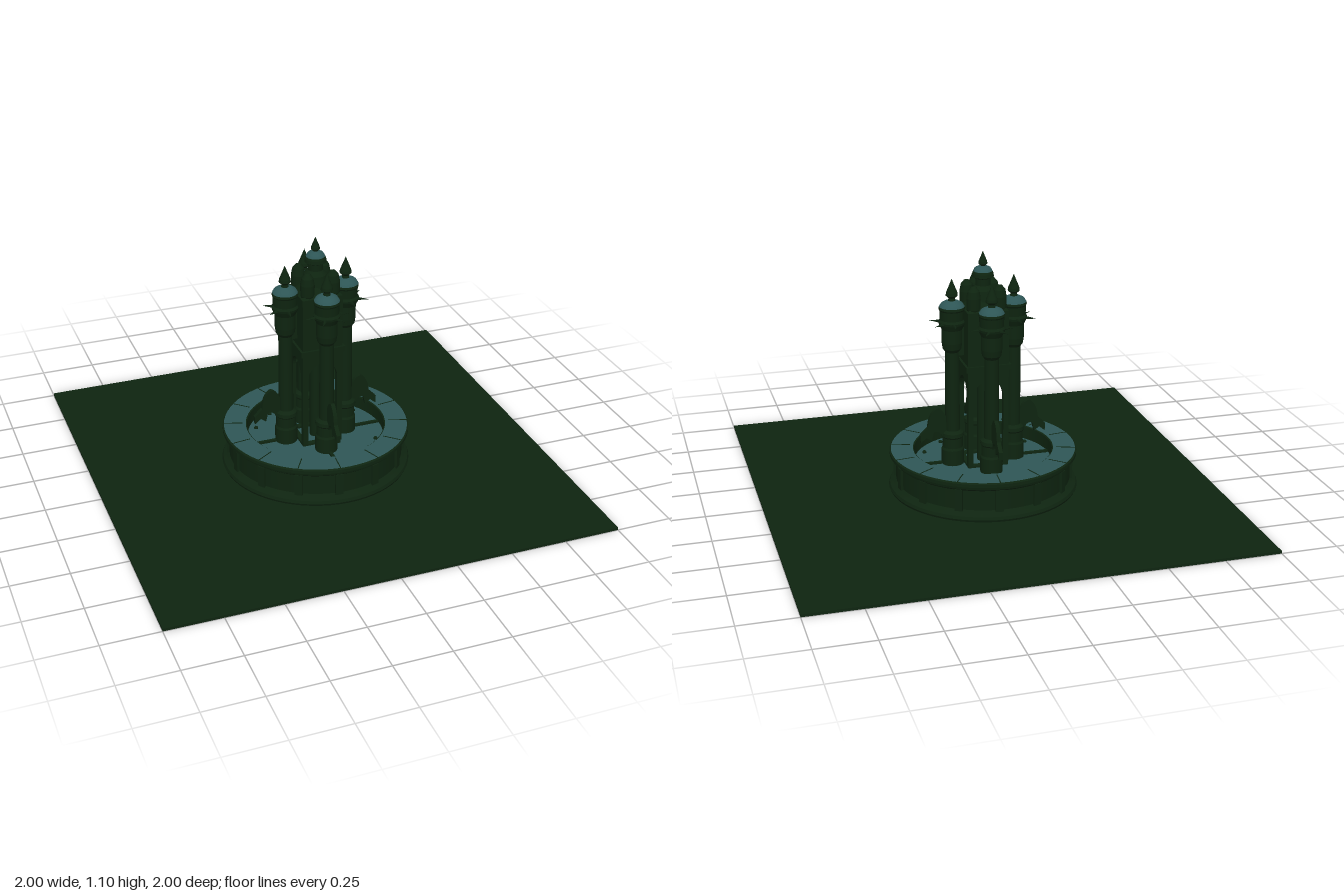
import * as THREE from 'three';

export function createModel() {
  const model = new THREE.Group();
  model.name = 'gothicFountain';
  const mossMat = new THREE.MeshStandardMaterial({ color: 0x0e2410 });
  mossMat.name = 'dark moss stone';
  const tealMat = new THREE.MeshStandardMaterial({ color: 0x2e5656 });
  tealMat.name = 'weathered teal stone';

  const add = (parent, name, geo, mat, x = 0, y = 0, z = 0) => {
    const m = new THREE.Mesh(geo, mat);
    m.name = name;
    m.position.set(x, y, z);
    parent.add(m);
    return m;
  };
  // Lathe with doubled points, so the profile keeps its edges crisp
  const lathe = (pts, seg) => {
    const p = [];
    pts.forEach(([r, y], i) => {
      p.push(new THREE.Vector2(r, y));
      if (i && i < pts.length - 1) p.push(new THREE.Vector2(r, y));
    });
    return new THREE.LatheGeometry(p, seg);
  };
  const extrude = (shape, depth) =>
    new THREE.ExtrudeGeometry(shape, { depth, bevelEnabled: false, curveSegments: 8 }).translate(0, 0, -depth / 2);
  const spirePoints = (y, s) => [[0.018, 0], [0.014, 0.018], [0.027, 0.03], [0.025, 0.043], [0.013, 0.072], [0, 0.105]]
    .map(([r, h]) => [r * s, y + h * s]);

  // Ground slab
  add(model, 'ground', new THREE.BoxGeometry(2, 0.012, 2), mossMat, 0, 0.006, 0);

  // Basin: outer wall, teal coping, inner wall and floor
  const basin = new THREE.Group();
  basin.name = 'basin';
  model.add(basin);
  add(basin, 'outerWall', lathe([[0.42, 0.01], [0.425, 0.022], [0.42, 0.035], [0.405, 0.045], [0.392, 0.055],
    [0.392, 0.145], [0.405, 0.155], [0.408, 0.167], [0.42, 0.172], [0.42, 0.186], [0.414, 0.192]], 64), mossMat);
  add(basin, 'coping', lathe([[0.414, 0.192], [0.315, 0.192]], 64), tealMat);
  add(basin, 'innerWall', lathe([[0.315, 0.192], [0.31, 0.188], [0.308, 0.13]], 64), mossMat);
  add(basin, 'floor', lathe([[0.308, 0.13], [0, 0.13]], 64), tealMat);
  for (let i = 0; i < 14; i++) {
    const a = (i + 0.3) * Math.PI * 2 / 14;
    const spoke = new THREE.Group();
    spoke.name = 'basinStone';
    spoke.rotation.y = a;
    basin.add(spoke);
    add(spoke, 'copingJoint', new THREE.BoxGeometry(0.085, 0.003, 0.004), mossMat, 0.372, 0.192, 0);
    add(spoke, 'wallRib', new THREE.BoxGeometry(0.02, 0.1, 0.035), mossMat, 0.393, 0.1, 0);
  }
  for (let i = 0; i < 12; i++) {
    if (i % 3 === 0) continue;
    const a = i * Math.PI / 6;
    add(basin, 'floorStud', new THREE.SphereGeometry(0.01, 8, 5), mossMat, 0.275 * Math.cos(a), 0.132, 0.275 * Math.sin(a));
  }

  // Core: four arched walls around an open chamber
  const core = new THREE.Group();
  core.name = 'core';
  model.add(core);
  const wall = new THREE.Shape([[-0.092, 0.13], [0.092, 0.13], [0.092, 0.85], [-0.092, 0.85]].map(p => new THREE.Vector2(...p)));
  const opening = new THREE.Path();
  opening.moveTo(-0.068, 0.14);
  opening.lineTo(-0.068, 0.47);
  opening.quadraticCurveTo(-0.06, 0.525, 0, 0.54);
  opening.quadraticCurveTo(0.06, 0.525, 0.068, 0.47);
  opening.lineTo(0.068, 0.14);
  wall.holes.push(opening);
  const wallGeo = extrude(wall, 0.024);
  for (let i = 0; i < 4; i++) {
    const side = new THREE.Group();
    side.name = 'coreSide';
    side.rotation.y = i * Math.PI / 2;
    core.add(side);
    add(side, 'archedWall', wallGeo, mossMat, 0, 0, 0.08);
    add(side, 'stringCourse', new THREE.BoxGeometry(0.2, 0.025, 0.02), mossMat, 0, 0.595, 0.092);
    // Rounded finial over each corner
    add(side, 'cornerFinial', lathe([[0.02, 0.83], [0.031, 0.86], [0.032, 0.91], [0.026, 0.94], [0.012, 0.958], [0, 0.962]], 12),
      mossMat, 0.058, 0, 0.058);
  }
  add(core, 'chamberCeiling', new THREE.BoxGeometry(0.17, 0.3, 0.17), mossMat, 0, 0.7, 0);
  add(core, 'centralColumn', new THREE.CylinderGeometry(0.026, 0.026, 0.42, 16), mossMat, 0, 0.34, 0);
  add(core, 'roof', new THREE.CylinderGeometry(0.065, 0.13, 0.05, 4, 1).rotateY(Math.PI / 4), mossMat, 0, 0.872, 0);
  add(core, 'lantern', lathe([[0.062, 0.87], [0.05, 0.93], [0.033, 0.95], [0.033, 0.98], [0.048, 0.988], [0.046, 1.003], [0.042, 1.012]], 20), mossMat);
  add(core, 'lanternDome', new THREE.LatheGeometry([[0.042, 1.012], [0.034, 1.026], [0.018, 1.034], [0, 1.036]].map(p => new THREE.Vector2(...p)), 20), tealMat);
  add(core, 'lanternSpire', lathe(spirePoints(1.022, 0.75), 12), mossMat);

  // Arched water spout, a thin radial plate
  const spout = new THREE.Shape();
  spout.moveTo(0.16, 0.25);
  spout.lineTo(0.16, 0.32);
  spout.quadraticCurveTo(0.18, 0.395, 0.215, 0.395);
  spout.quadraticCurveTo(0.25, 0.375, 0.255, 0.31);
  spout.lineTo(0.29, 0.275);
  spout.lineTo(0.288, 0.24);
  spout.lineTo(0.262, 0.262);
  spout.lineTo(0.238, 0.245);
  spout.lineTo(0.228, 0.285);
  spout.quadraticCurveTo(0.2, 0.295, 0.185, 0.25);
  const spoutGeo = extrude(spout, 0.018);
  const spikeGeo = new THREE.ConeGeometry(0.014, 0.055, 4).rotateZ(-Math.PI / 2).scale(1, 0.6, 1);

  // Four outer towers, each built on the +x axis and turned into place
  for (let i = 0; i < 4; i++) {
    const tower = new THREE.Group();
    tower.name = 'tower';
    tower.rotation.y = i * Math.PI / 2;
    model.add(tower);
    add(tower, 'towerBase', lathe([[0.05, 0.13], [0.05, 0.2], [0.045, 0.21], [0.045, 0.255], [0.05, 0.262], [0.048, 0.278], [0.032, 0.29]], 20), mossMat, 0.14);
    add(tower, 'towerShaft', new THREE.CylinderGeometry(0.031, 0.033, 0.4, 20), mossMat, 0.14, 0.48, 0);
    add(tower, 'towerHead', lathe([[0.03, 0.655], [0.042, 0.672], [0.046, 0.7], [0.046, 0.76], [0.058, 0.785], [0.06, 0.795],
      [0.053, 0.805], [0.054, 0.845], [0.058, 0.852], [0.056, 0.862]], 20), mossMat, 0.14);
    add(tower, 'towerDome', new THREE.LatheGeometry([[0.056, 0.862], [0.047, 0.877], [0.03, 0.886], [0.01, 0.89]].map(p => new THREE.Vector2(...p)), 20), tealMat, 0.14);
    add(tower, 'towerSpire', lathe(spirePoints(0.882, 1), 12), mossMat, 0.14);
    add(tower, 'waterSpout', spoutGeo, mossMat);
    // Ledge that carries the spout down to the floor
    add(tower, 'spoutRail', new THREE.BoxGeometry(0.12, 0.012, 0.014), mossMat, 0.245, 0.134, 0);
    // Horizontal thorns around the head
    for (const deg of [-85, -30, 30, 85]) {
      const a = deg * Math.PI / 180;
      const spike = add(tower, 'headThorn', spikeGeo, mossMat, 0.14 + 0.076 * Math.cos(a), 0.79, 0.076 * Math.sin(a));
      spike.rotation.y = -a;
    }
    // Bridge tying the tower head to the core
    add(tower, 'towerBridge', new THREE.BoxGeometry(0.07, 0.2, 0.04), mossMat, 0.1, 0.74, 0);
  }
  return model;
}
